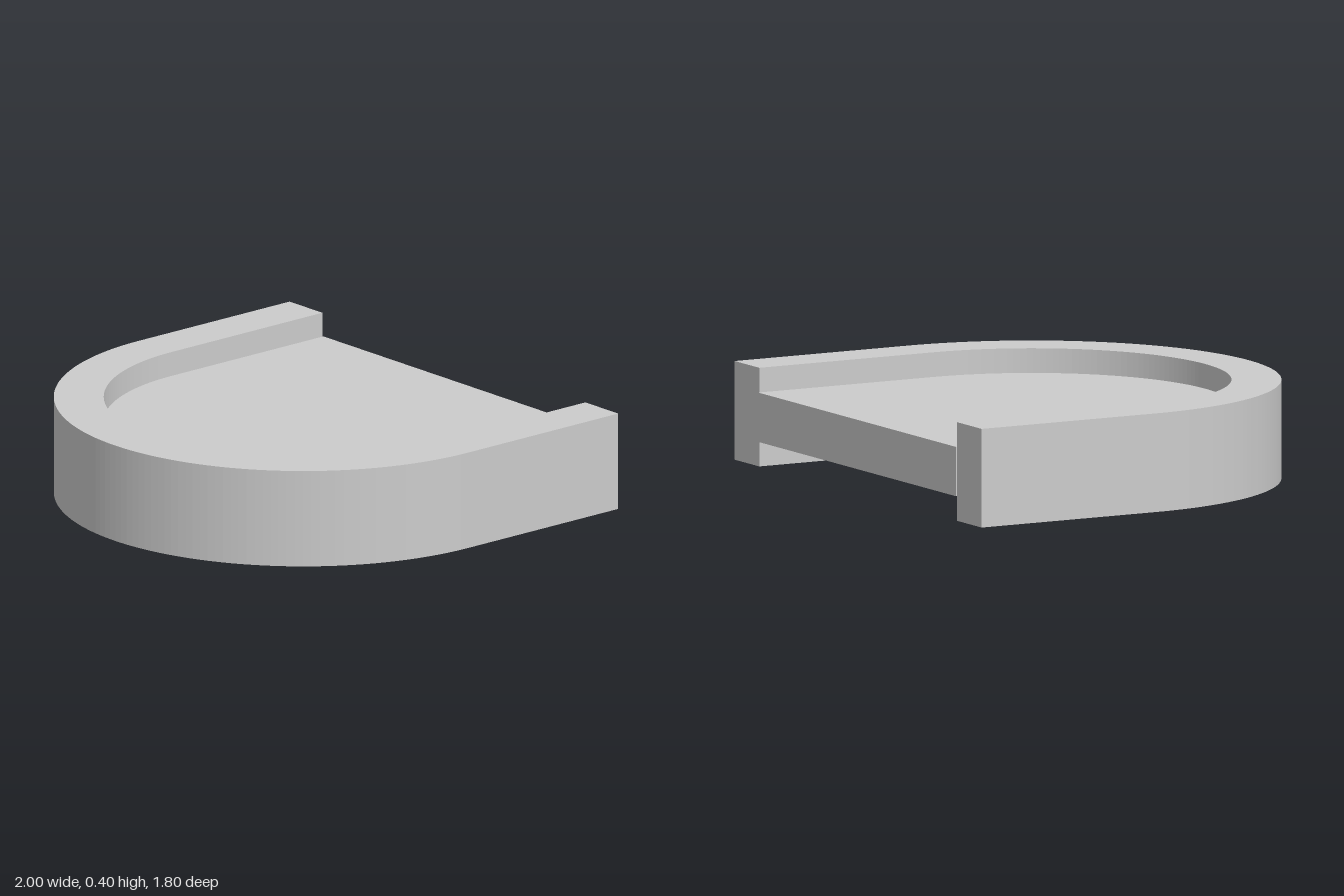
import * as THREE from 'three';

const CENTRE_Z = -0.1; // centre of the rounded front
const OUTER = 1, INNER = 0.8;

// Extrude a plan outline (x, z) vertically between two heights
function extrudePlan(name, shape, bottom, top, material) {
  const geometry = new THREE.ExtrudeGeometry(shape, {
    depth: top - bottom, bevelEnabled: false, curveSegments: 48,
  });
  geometry.rotateX(Math.PI / 2);
  geometry.translate(0, top, 0);
  const mesh = new THREE.Mesh(geometry, material);
  mesh.name = name;
  return mesh;
}

export function createModel() {
  const group = new THREE.Group();
  group.name = 'roundedTray';
  const material = new THREE.MeshStandardMaterial({ color: 0xcccccc });

  // U-shaped rim, open at the back
  const rim = new THREE.Shape();
  rim.moveTo(OUTER, -0.9);
  rim.lineTo(OUTER, CENTRE_Z);
  rim.absarc(0, CENTRE_Z, OUTER, 0, Math.PI, false);
  rim.lineTo(-OUTER, -0.9);
  rim.lineTo(-INNER, -0.9);
  rim.lineTo(-INNER, CENTRE_Z);
  rim.absarc(0, CENTRE_Z, INNER, Math.PI, 0, true);
  rim.lineTo(INNER, -0.9);
  rim.closePath();
  group.add(extrudePlan('rim', rim, 0, 0.4, material));

  // Recessed panel at mid height, just proud of the rim at the back
  const panel = new THREE.Shape();
  panel.moveTo(INNER, -0.905);
  panel.lineTo(INNER, CENTRE_Z);
  panel.absarc(0, CENTRE_Z, INNER, 0, Math.PI, false);
  panel.lineTo(-INNER, -0.905);
  panel.closePath();
  group.add(extrudePlan('panel', panel, 0.1, 0.3, material));

  return group;
}
